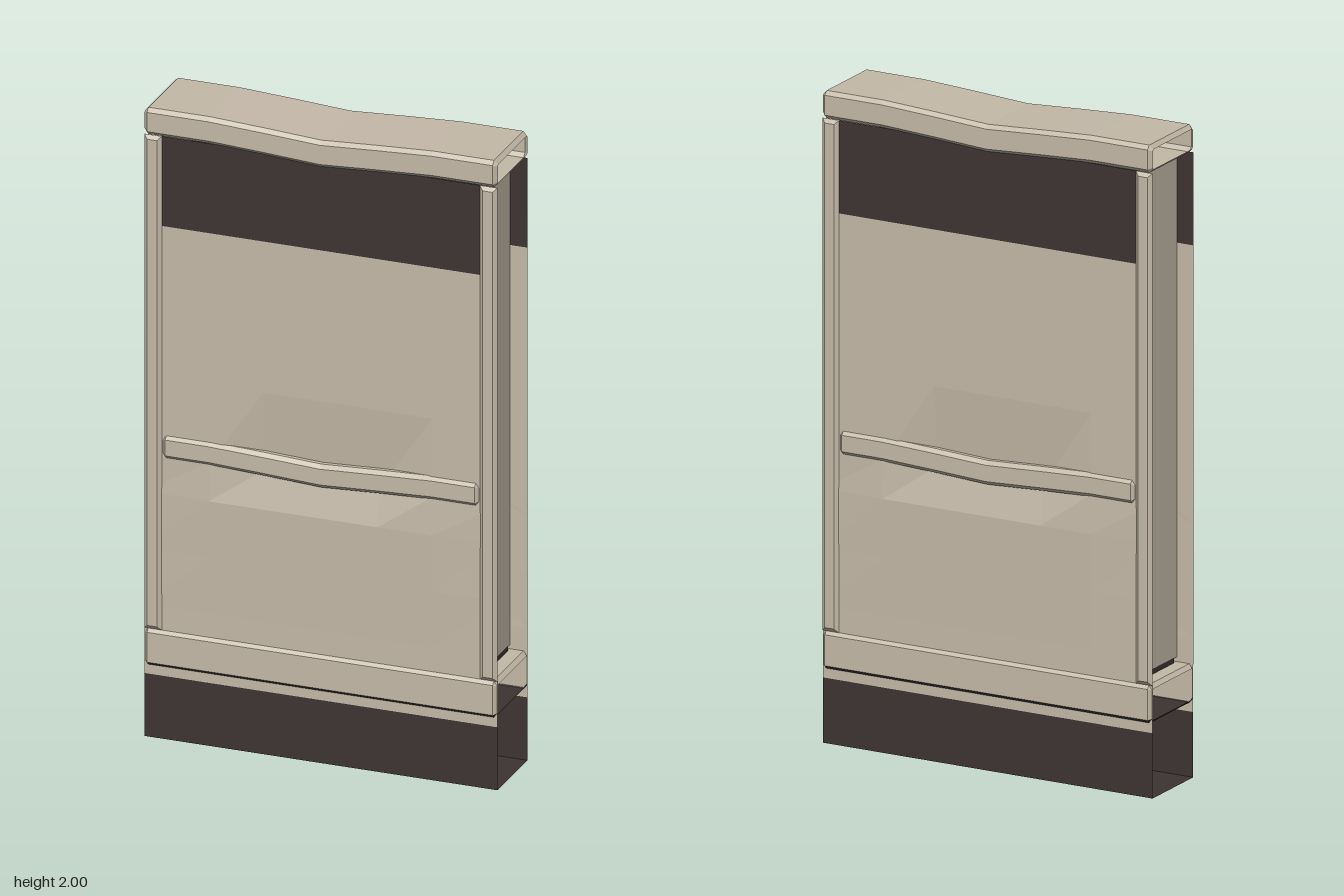
import * as THREE from 'three';

const W = 0.555, D = 0.13, WALL = 0.12, C = 0.012;

const stone = new THREE.MeshStandardMaterial({ color: 0xc4b9a8, side: THREE.DoubleSide });
stone.name = 'warm stone';
const dark = new THREE.MeshStandardMaterial({ color: 0x3c3433, side: THREE.DoubleSide });
dark.name = 'dark trim';

function mesh(geometry, material, name) {
  const m = new THREE.Mesh(geometry, material);
  m.name = name;
  return m;
}

// Sag of the worn beams, deepest in the middle
function sagAt(x, sag) {
  const a = Math.abs(x);
  if (a >= 0.35) return 0;
  return a >= 0.18 ? -sag * 0.45 * (0.35 - a) / 0.17 : -sag * (0.45 + 0.55 * (0.18 - a) / 0.18);
}

// Chamfered hollow beam running along x with open ends
function beam(halfLength, y0, y1, sag) {
  const xs = [-halfLength, -halfLength + C, -0.35, -0.18, 0, 0.18, 0.35, halfLength - C, halfLength];
  const mid = (y0 + y1) / 2;
  const rings = xs.map((x, i) => {
    const inset = i === 0 || i === xs.length - 1 ? C : 0;
    const h = (y1 - y0) / 2 - inset, d = D - inset, c = inset ? C * 0.4 : C;
    const section = [[-h, -d + c], [-h, d - c], [-h + c, d], [h - c, d],
      [h, d - c], [h, -d + c], [h - c, -d], [-h + c, -d]];
    return section.map(([y, z]) => [x, mid + y + sagAt(x, sag), z]);
  });
  const pos = [];
  const geometry = new THREE.BufferGeometry();
  for (let e = 0; e < 8; e++) {
    const f = (e + 1) % 8;
    const start = pos.length / 3;
    for (let i = 0; i < xs.length - 1; i++) {
      const a = rings[i][e], b = rings[i + 1][e], c = rings[i + 1][f], d = rings[i][f];
      pos.push(...a, ...b, ...c, ...a, ...c, ...d);
    }
    // Underside and its two chamfers form the second group
    geometry.addGroup(start, pos.length / 3 - start, e === 0 || e === 1 || e === 7 ? 1 : 0);
  }
  geometry.setAttribute('position', new THREE.Float32BufferAttribute(pos, 3));
  geometry.computeVertexNormals();
  return geometry;
}

// Flat upright sheet facing +z
function sheet(y0, y1) {
  return new THREE.PlaneGeometry(W * 2, y1 - y0).translate(0, (y0 + y1) / 2, WALL);
}

// Stone field with a shallow faceted hollow behind the rail
function dentedSheet() {
  const xs = [-W, -0.35, -0.18, 0, 0.18, 0.35, W];
  const ys = [0.2, 0.42, 0.6, 0.78, 0.9, 1.15, 1.63];
  const g = new THREE.PlaneGeometry(1, 1, xs.length - 1, ys.length - 1);
  const p = g.attributes.position;
  for (let i = 0; i < p.count; i++) {
    const x = xs[i % xs.length];
    const y = ys[ys.length - 1 - Math.floor(i / xs.length)];
    const a = Math.abs(x);
    let dz = 0;
    if (y === 0.9 && a < 0.2) dz = -0.02;
    if (y === 0.78 && a < 0.4) dz = 0.006;
    if (y === 0.6 && a < 0.4) dz = 0.003;
    p.setXYZ(i, x, y, WALL + dz);
  }
  const flat = g.toNonIndexed();
  flat.computeVertexNormals();
  return flat;
}

// Thin corner strip whose front face is chamfered all round
function postStrip() {
  const x0 = 0.5, x1 = W, y0 = 0.345, y1 = 1.915, z0 = WALL + 0.0005;
  const w = x1 - x0, h = y1 - y0;
  const box = new THREE.BoxGeometry(w, h, D - z0);
  const p = box.attributes.position;
  for (let i = 0; i < p.count; i++) {
    if (p.getZ(i) > 0) {
      p.setX(i, p.getX(i) * (1 - 2 * C / w));
      p.setY(i, p.getY(i) * (1 - 2 * C / h));
    }
  }
  const flat = box.toNonIndexed();
  flat.computeVertexNormals();
  return flat.translate((x0 + x1) / 2, (y0 + y1) / 2, (z0 + D) / 2);
}

// One face of the wall with its painted bands and corner strips
function wallSide(name) {
  const side = new THREE.Group();
  side.name = name;
  side.add(mesh(sheet(0, 0.2), dark, 'plinthFace'));
  side.add(mesh(dentedSheet(), stone, 'stoneField'));
  side.add(mesh(sheet(1.63, 1.915), dark, 'upperBand'));
  const strip = postStrip();
  for (const s of [-1, 1]) {
    const post = mesh(strip, stone, s > 0 ? 'leftPost' : 'rightPost');
    post.position.x = s > 0 ? 0 : -(0.5 + W);
    side.add(post);
  }
  return side;
}

export function createModel() {
  const model = new THREE.Group();
  model.name = 'wallSection';

  // Matching front and back faces
  const back = wallSide('backFace');
  back.rotation.y = Math.PI;
  model.add(wallSide('frontFace'), back);

  // Underside of the plinth
  const floor = new THREE.PlaneGeometry(W * 2, WALL * 2).rotateX(Math.PI / 2);
  model.add(mesh(floor, dark, 'plinthBottom'));

  // Recessed end panels with a dark foot strip
  for (const s of [-1, 1]) {
    const panel = new THREE.PlaneGeometry(WALL * 2, 1.555).rotateY(s * Math.PI / 2);
    panel.translate(s * 0.5, 1.1375, 0);
    model.add(mesh(panel, stone, 'endPanel'));
    const foot = new THREE.PlaneGeometry(0.2, 0.018).rotateY(s * Math.PI / 2);
    foot.translate(s * 0.501, 0.354, 0);
    model.add(mesh(foot, dark, 'endFootStrip'));
  }

  // Beams across the wall
  model.add(mesh(beam(W, 1.915, 2, 0.02), [stone, stone], 'topBeam'));
  model.add(mesh(beam(0.498, 0.893, 0.967, 0.017), [stone, stone], 'middleRail'));
  model.add(mesh(beam(W, 0.228, 0.347, 0), [stone, dark], 'bottomBeam'));
  return model;
}
